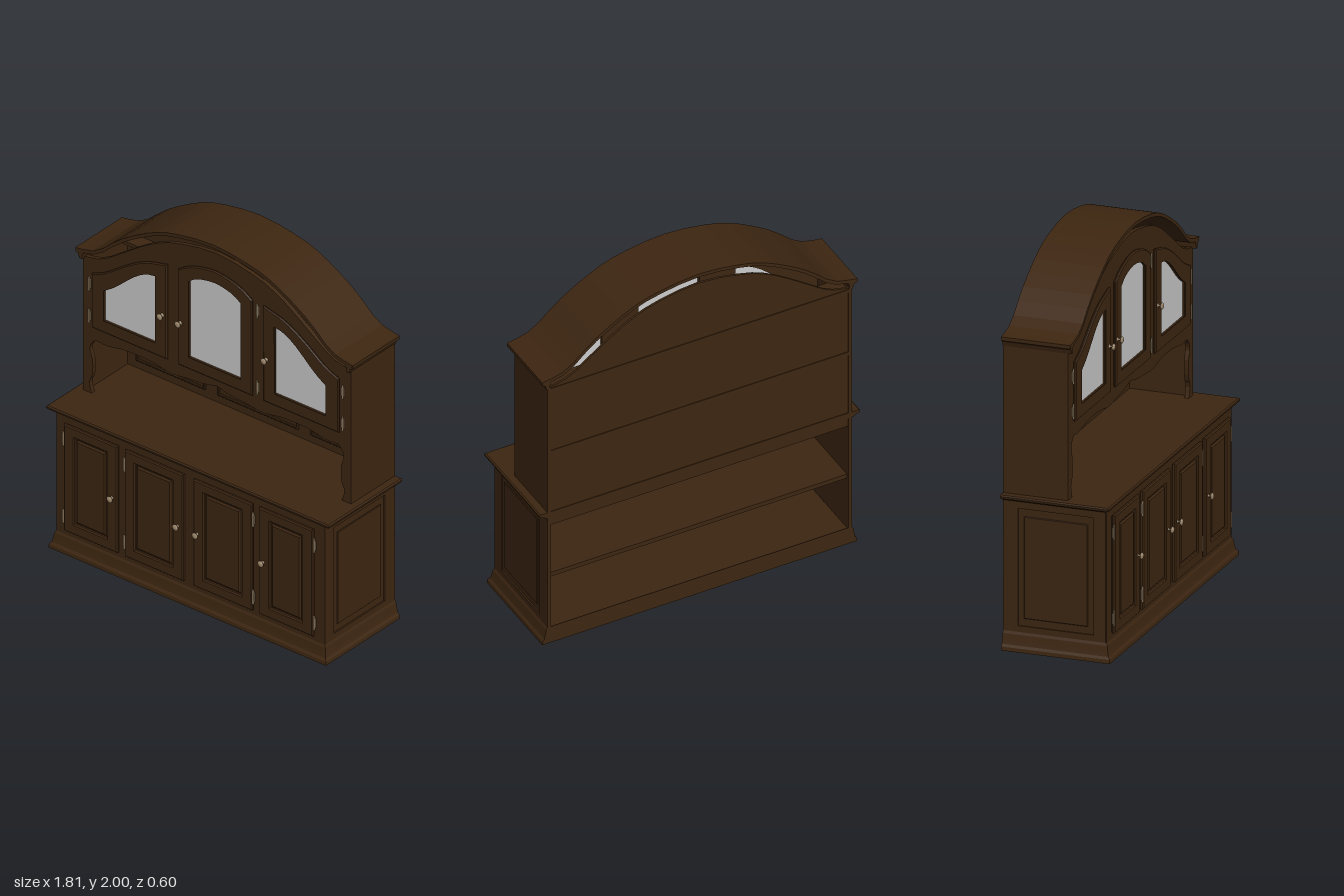
import * as THREE from 'three';

const wood = new THREE.MeshStandardMaterial({ color: 0x3d2611, side: THREE.DoubleSide });
wood.name = 'dark wood';
const metal = new THREE.MeshStandardMaterial({ color: 0xa08a6c });
metal.name = 'aged metal';
const glass = new THREE.MeshStandardMaterial({ color: 0xcccccc, side: THREE.DoubleSide });
glass.name = 'pale glass';

const v2 = ([x, y]) => new THREE.Vector2(x, y);
const smooth = (pts, n = 16) => new THREE.SplineCurve(pts.map(v2)).getPoints(n).map(p => [p.x, p.y]);
const flip = pts => pts.map(([x, y]) => [-x, y]).reverse();
const rect = (x0, x1, y0, y1) => [[x0, y0], [x1, y0], [x1, y1], [x0, y1]];

function add(parent, name, geo, mat, x = 0, y = 0, z = 0) {
  const m = new THREE.Mesh(geo, mat);
  m.name = name;
  m.position.set(x, y, z);
  parent.add(m);
  return m;
}

// box given by its limits
function slab(parent, name, x0, x1, y0, y1, z0, z1) {
  add(parent, name, new THREE.BoxGeometry(x1 - x0, y1 - y0, z1 - z0), wood,
    (x0 + x1) / 2, (y0 + y1) / 2, (z0 + z1) / 2);
}

// flat outline with holes, from z0 to z1, with an optional chamfer on its edges
function plate(parent, name, outline, z0, z1, { holes = [], bevel = 0, mat = wood } = {}) {
  const s = new THREE.Shape(outline.map(v2));
  s.holes = holes.map(h => new THREE.Path(h.map(v2)));
  const geo = new THREE.ExtrudeGeometry(s, {
    depth: z1 - z0 - 2 * bevel, bevelEnabled: bevel > 0, bevelThickness: bevel,
    bevelSize: bevel, bevelOffset: -bevel, bevelSegments: 1, steps: 1,
  });
  return add(parent, name, geo, mat, 0, 0, z0 + bevel);
}

// moulding around the base: rows of [height, outset], flush at the back
function moulding(rows, halfX, front, back) {
  const ring = ([y, o]) => {
    const b = o > 0 ? back : back - o;
    return [[-halfX - o, y, front + o], [halfX + o, y, front + o], [halfX + o, y, b], [-halfX - o, y, b]];
  };
  const pos = [];
  for (let i = 0; i < rows.length - 1; i++) {
    const a = ring(rows[i]), c = ring(rows[i + 1]);
    for (let k = 0; k < 4; k++) {
      const n = (k + 1) % 4;
      pos.push(...a[k], ...a[n], ...c[n], ...a[k], ...c[n], ...c[k]);
    }
  }
  const g = new THREE.BufferGeometry();
  g.setAttribute('position', new THREE.Float32BufferAttribute(pos, 3));
  g.computeVertexNormals();
  return g;
}

function knob(parent, x, y, z) {
  const prof = [[0, 0], [0.012, 0], [0.012, 0.003], [0.005, 0.006], [0.005, 0.017], [0.017, 0.021], [0.018, 0.026], [0.012, 0.031], [0, 0.032]];
  add(parent, 'knob', new THREE.LatheGeometry(prof.map(v2), 14), metal, x, y, z).rotation.x = Math.PI / 2;
}

function hinge(parent, x, y, z) {
  const g = new THREE.Group();
  g.name = 'hinge';
  g.position.set(x, y, z);
  add(g, 'hinge pin', new THREE.CylinderGeometry(0.005, 0.005, 0.08, 8), metal, 0, 0, 0.005);
  add(g, 'hinge leaf', new THREE.BoxGeometry(0.02, 0.05, 0.006), metal, 0, 0, 0.002);
  parent.add(g);
}

export function createModel() {
  const model = new THREE.Group();
  model.name = 'dresser';
  const group = name => {
    const g = new THREE.Group();
    g.name = name;
    model.add(g);
    return g;
  };

  // lower cabinet, open at the back
  const lower = group('lowerCabinet');
  add(lower, 'plinth', moulding([[0.06, -0.02], [0, -0.02], [0, 0.03], [0.02, 0.028], [0.032, 0.018],
    [0.05, 0.014], [0.085, 0.008], [0.1, 0]], 0.857, 0.248, -0.3), wood);
  slab(lower, 'floor', -0.84, 0.84, 0.06, 0.085, -0.29, 0.24);
  slab(lower, 'shelf', -0.84, 0.84, 0.4, 0.425, -0.285, 0.22);
  slab(lower, 'back rail', -0.84, 0.84, 0.735, 0.79, -0.298, -0.28);
  slab(lower, 'front panel', -0.857, 0.857, 0.09, 0.79, 0.235, 0.25);
  add(lower, 'worktop', moulding([[0.785, -0.3], [0.785, 0.008], [0.795, 0.015], [0.8, 0.04], [0.812, 0.043],
    [0.818, 0.036], [0.818, -0.28]], 0.86, 0.235, -0.3), wood);
  slab(lower, 'worktop board', -0.86, 0.86, 0.79, 0.817, -0.299, 0.24);
  for (const s of [-1, 1]) {
    slab(lower, 'side', Math.min(s * 0.837, s * 0.85), Math.max(s * 0.837, s * 0.85), 0.09, 0.79, -0.3, 0.24);
    const panel = new THREE.Group();
    panel.name = 'sidePanel';
    panel.position.x = s * 0.85;
    panel.rotation.y = s * Math.PI / 2;
    const mirrorX = pts => (s > 0 ? pts : flip(pts));
    plate(panel, 'side frame', mirrorX(rect(-0.245, 0.3, 0.09, 0.785)), 0, 0.008,
      { holes: [mirrorX(rect(-0.18, 0.22, 0.13, 0.745))] });
    plate(panel, 'side field', mirrorX(rect(-0.15, 0.19, 0.17, 0.705)), 0, 0.008, { bevel: 0.003 });
    lower.add(panel);
  }

  // lower doors with raised fields
  for (const [x0, x1] of [[-0.796, -0.452], [-0.408, -0.032], [0.032, 0.408], [0.452, 0.796]]) {
    plate(lower, 'door frame', rect(x0, x1, 0.13, 0.748), 0.25, 0.272,
      { bevel: 0.006, holes: [rect(x0 + 0.068, x1 - 0.068, 0.19, 0.69)] });
    slab(lower, 'door back', x0 + 0.05, x1 - 0.05, 0.17, 0.71, 0.25, 0.256);
    plate(lower, 'door field', rect(x0 + 0.078, x1 - 0.078, 0.2, 0.68), 0.252, 0.27, { bevel: 0.008 });
  }
  for (const x of [-0.485, -0.065, 0.06, 0.48]) knob(lower, x, 0.44, 0.268);
  for (const x of [-0.802, -0.412, 0.412, 0.802])
    for (const y of [0.21, 0.66]) hinge(lower, x, y, 0.262);

  // upper cabinet outlines
  const upper = group('upperCabinet');
  const archLeft = [[-0.857, 1.595], [-0.73, 1.625], [-0.575, 1.73], [-0.415, 1.835], [-0.257, 1.9]];
  const arch = smooth([...archLeft, [0, 1.94], ...flip(archLeft)], 24);
  const sideCut = smooth([[-0.8, 0.818], [-0.815, 0.88], [-0.795, 0.93], [-0.795, 1.02], [-0.812, 1.07], [-0.8, 1.11], [-0.775, 1.135]], 14);
  const scallop = smooth([[-0.775, 1.135], [-0.7, 1.13], [-0.58, 1.15], [-0.42, 1.15], [-0.3, 1.13], [-0.2, 1.14], [-0.09, 1.15], [0, 1.17]], 20);
  const nicheLeft = [...sideCut, ...scallop.slice(1)];
  const niche = [...nicheLeft, ...flip(nicheLeft).slice(1)];
  const sidePane = [...smooth([[-0.715, 1.46], [-0.64, 1.51], [-0.52, 1.615], [-0.44, 1.663], [-0.375, 1.675]], 10),
    [-0.375, 1.275], [-0.715, 1.275]];
  const midPane = [...smooth([[-0.172, 1.725], [-0.11, 1.763], [0, 1.783], [0.11, 1.763], [0.172, 1.725]], 12),
    [0.172, 1.275], [-0.172, 1.275]];
  const panes = [sidePane, midPane, flip(sidePane)];

  // face frame with scalloped niche
  plate(upper, 'face frame', [[-0.857, 0.818], ...niche, [0.857, 0.818], ...[...arch].reverse()], 0.022, 0.045, { holes: panes });
  plate(upper, 'back panel', [[-0.85, 0.815], [0.85, 0.815], ...[...arch].reverse()], -0.296, -0.284);
  for (const s of [-1, 1])
    slab(upper, 'side', Math.min(s * 0.838, s * 0.857), Math.max(s * 0.838, s * 0.857), 0.815, 1.595, -0.3, 0.03);
  for (const y of [1.18, 1.57]) slab(upper, 'shelf', -0.84, 0.84, y, y + 0.02, -0.3, y < 1.3 ? 0.022 : -0.2);
  for (const [x0, x1] of [[-0.78, -0.335], [-0.26, 0.26], [0.335, 0.78]])
    plate(upper, 'niche panel', rect(x0, x1, 0.865, 1.13), -0.284, -0.27,
      { bevel: 0.004, holes: [rect(x0 + 0.014, x1 - 0.014, 0.879, 1.116)] });

  // glazed doors
  const sideDoor = [...smooth([[-0.79, 1.525], [-0.7, 1.565], [-0.58, 1.65], [-0.45, 1.725], [-0.308, 1.762]], 10),
    [-0.308, 1.212], [-0.79, 1.212]];
  const midDoor = [...smooth([[-0.237, 1.765], [-0.15, 1.815], [0, 1.845], [0.15, 1.815], [0.237, 1.765]], 12),
    [0.237, 1.212], [-0.237, 1.212]];
  [sideDoor, midDoor, flip(sideDoor)].forEach((door, i) => {
    plate(upper, 'glazed door', door, 0.045, 0.062, { bevel: 0.006, holes: [panes[i]] });
    plate(upper, 'window pane', panes[i], 0.04, 0.046, { mat: glass });
  });
  for (const x of [-0.335, -0.22, 0.33]) knob(upper, x, 1.46, 0.06);
  for (const [x, top] of [[-0.81, 1.455], [0.81, 1.455], [0.265, 1.715]])
    for (const y of [1.27, top]) hinge(upper, x, y, 0.05);

  // arched crown standing clear of the face frame
  const crown = group('crown');
  const topLeft = [[-0.885, 1.643], [-0.75, 1.677], [-0.6, 1.8], [-0.415, 1.91], [-0.257, 1.967]];
  const top = smooth([...topLeft, [0, 2], ...flip(topLeft)], 24);
  const under = top.map(([x, y]) => [x * 0.992, y - 0.019]).reverse();
  plate(crown, 'crown arch', [...top, ...under], -0.3, 0.068);
  const end = [[-0.887, 1.643], [-0.887, 1.624], [-0.87, 1.615], [-0.862, 1.59], [-0.845, 1.59], [-0.842, 1.615], [-0.83, 1.65]];
  for (const e of [end, flip(end)]) plate(crown, 'crown end', e, -0.3, 0.066);

  return model;
}
